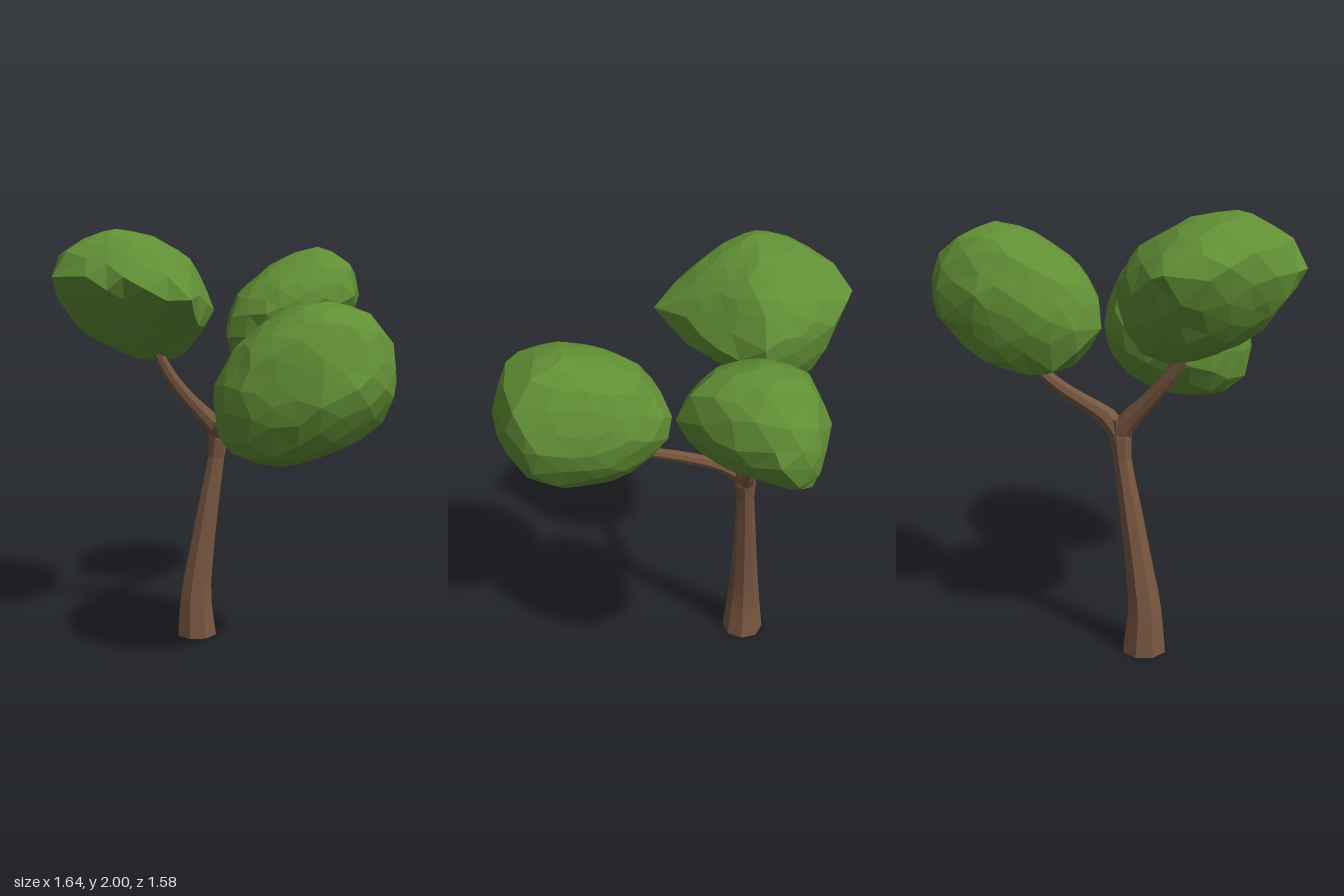
import * as THREE from 'three';
import { mergeVertices } from 'three/addons/utils/BufferGeometryUtils.js';

const leafGreen = new THREE.MeshStandardMaterial({ color: 0x618f35, flatShading: true });
leafGreen.name = 'leaf green';
const barkBrown = new THREE.MeshStandardMaterial({ color: 0x775640, flatShading: true });
barkBrown.name = 'bark brown';

const V = (p) => new THREE.Vector3(...p);

// Eight-sided tapering limb: a capped cylinder bent along a curve. Each point is [x, y, z, radius].
function limb(name, points, flatBase = false) {
  const rows = 12;
  const curve = new THREE.CatmullRomCurve3(points.map((p) => V(p.slice(0, 3))));
  const frames = curve.computeFrenetFrames(rows);
  const radii = new THREE.CatmullRomCurve3(points.map((p, i) => new THREE.Vector3(i, p[3], 0)));
  const geo = new THREE.CylinderGeometry(1, 1, 1, 8, rows);
  const pos = geo.attributes.position;
  for (let i = 0; i < pos.count; i++) {
    const row = Math.round((pos.getY(i) + 0.5) * rows);
    const r = radii.getPoint(curve.getUtoTmapping(row / rows)).y;
    const p = curve.getPointAt(row / rows)
      .addScaledVector(frames.normals[row], pos.getX(i) * r)
      .addScaledVector(frames.binormals[row], -pos.getZ(i) * r);
    if (flatBase && row === 0) p.y = 0;
    pos.setXYZ(i, p.x, p.y, p.z);
  }
  geo.computeVertexNormals();
  const mesh = new THREE.Mesh(geo, barkBrown);
  mesh.name = name;
  return mesh;
}

// Sphere with shared corners, giving evenly spread directions
function sphereDirections(detail) {
  const geo = new THREE.IcosahedronGeometry(1, detail);
  geo.deleteAttribute('uv');
  geo.deleteAttribute('normal');
  return mergeVertices(geo, 1e-4);
}

// Faceted leaf crown, bounded by its outlines: front [x, y], side [z, y] and top [x, z],
// and reaching out to the given tips [x, y, z]
function crown(name, center, front, side, top, tipPoints, seed) {
  const [cx, cy, cz] = center;
  const tips = tipPoints.map((p) => V(p).sub(V(center)));
  // Squared reach of an outline in a direction within its plane
  const reach = (outline, ca, cb, a, b) =>
    Math.max(...outline.map((p) => (p[0] - ca) * a + (p[1] - cb) * b)) ** 2;
  const F = (x, y) => reach(front, cx, cy, x, y);
  const S = (z, y) => reach(side, cz, cy, z, y);
  const T = (x, z) => reach(top, cx, cz, x, z);

  // Tangent planes all round, blending the three outlines as for a tilted ellipsoid
  const normals = sphereDirections(5).attributes.position;
  const planes = [];
  for (let i = 0; i < normals.count; i++) {
    const n = new THREE.Vector3().fromBufferAttribute(normals, i);
    const { x, y, z } = n;
    const square = F(x, y) + S(z, y) + T(x, z) - F(x, 0) - S(0, y) - T(0, z);
    const h = Math.sqrt(Math.max(square, 0.04));
    planes.push([n, Math.max(h, ...tips.map((t) => t.dot(n)))]);
  }

  const geo = sphereDirections(3);
  const pos = geo.attributes.position;
  let state = seed;
  const jitter = (amount) => {
    state = (state * 16807) % 2147483647;
    return (state / 2147483647 - 0.5) * amount;
  };
  const d = new THREE.Vector3();
  for (let i = 0; i < pos.count; i++) {
    d.fromBufferAttribute(pos, i);
    d.add(new THREE.Vector3(jitter(0.1), jitter(0.1), jitter(0.1))).normalize();
    let r = Infinity;
    for (const [n, h] of planes) {
      const c = d.dot(n);
      if (c > 0.05) r = Math.min(r, h / c);
    }
    d.multiplyScalar(r * (1.008 + jitter(0.008)));
    pos.setXYZ(i, d.x, d.y, d.z);
  }

  // Move the corner nearest in direction onto each tip
  for (const tip of tips) {
    let nearest = 0;
    let least = Infinity;
    for (let i = 0; i < pos.count; i++) {
      const angle = d.fromBufferAttribute(pos, i).angleTo(tip);
      if (angle < least) [nearest, least] = [i, angle];
    }
    pos.setXYZ(nearest, tip.x, tip.y, tip.z);
  }
  geo.computeVertexNormals();
  const mesh = new THREE.Mesh(geo, leafGreen);
  mesh.name = name;
  mesh.position.set(cx, cy, cz);
  return mesh;
}

export function createModel() {
  const tree = new THREE.Group();
  tree.name = 'tree';

  // Trunk, flared at the foot and leaning towards the fork
  tree.add(limb('trunk', [
    [-0.127, 0, -0.365, 0.102], [-0.13, 0.2, -0.365, 0.08], [-0.1, 0.42, -0.362, 0.064],
    [-0.063, 0.65, -0.357, 0.053], [-0.02, 0.9, -0.35, 0.042], [-0.01, 1.0, -0.345, 0.052],
    [-0.01, 1.08, -0.345, 0.045],
  ], true));

  // Three branches from the fork into the crowns
  tree.add(limb('frontBranch', [
    [-0.012, 1.02, -0.36, 0.055], [-0.018, 1.05, -0.29, 0.044], [-0.028, 1.075, -0.2, 0.031],
    [-0.03, 1.105, -0.04, 0.027], [-0.03, 1.125, 0.12, 0.024], [-0.03, 1.14, 0.24, 0.02],
  ]));
  tree.add(limb('leftBranch', [
    [-0.01, 1.0, -0.35, 0.045], [0.04, 1.07, -0.347, 0.046], [0.14, 1.125, -0.345, 0.037],
    [0.27, 1.19, -0.348, 0.032], [0.37, 1.27, -0.355, 0.029], [0.43, 1.39, -0.36, 0.024],
  ]));
  tree.add(limb('rightBranch', [
    [0, 1.0, -0.35, 0.045], [-0.045, 1.07, -0.35, 0.046], [-0.13, 1.16, -0.355, 0.036],
    [-0.24, 1.29, -0.36, 0.031], [-0.32, 1.43, -0.36, 0.027], [-0.36, 1.55, -0.36, 0.024],
  ]));

  // Leaf crowns
  tree.add(crown('frontCrown', [0.02, 1.35, 0.39],
    [[-0.36, 1.34], [-0.36, 1.18], [-0.33, 1.08], [-0.25, 1.03], [-0.1, 1], [0.03, 1.01], [0.25, 1.09],
      [0.36, 1.2], [0.4, 1.37], [0.35, 1.53], [0.27, 1.66], [0.14, 1.7], [-0.02, 1.69], [-0.25, 1.54]],
    [[0.79, 1.37], [0.71, 1.64], [0.46, 1.7], [0.14, 1.61], [-0.01, 1.38], [0.02, 1.24], [0.19, 1.06],
      [0.42, 1], [0.64, 1.09], [0.76, 1.26]],
    [[0, -0.01], [0.11, -0.01], [0.23, 0.07], [0.33, 0.24], [0.4, 0.53], [0.36, 0.66], [0.22, 0.75],
      [0.08, 0.79], [-0.07, 0.76], [-0.24, 0.62], [-0.36, 0.46], [-0.34, 0.28], [-0.19, 0.07]],
    [[-0.36, 1.26, 0.44], [0.4, 1.37, 0.53], [0.13, 1.7, 0.44], [-0.08, 1, 0.42], [0.06, 1.37, 0.79],
      [0.05, 1.37, -0.01]], 11));

  tree.add(crown('rightCrown', [-0.42, 1.7, -0.36],
    [[-0.82, 1.79], [-0.8, 1.87], [-0.73, 1.93], [-0.57, 2], [-0.34, 1.98], [-0.12, 1.86], [-0.02, 1.67],
      [-0.05, 1.5], [-0.15, 1.4], [-0.25, 1.38], [-0.37, 1.39], [-0.63, 1.51], [-0.78, 1.66]],
    [[0.1, 1.7], [-0.02, 1.82], [-0.18, 1.95], [-0.34, 2], [-0.55, 1.96], [-0.76, 1.84], [-0.78, 1.79],
      [-0.73, 1.63], [-0.63, 1.45], [-0.5, 1.38], [-0.35, 1.39], [-0.22, 1.47], [0.09, 1.67]],
    [[-0.35, -0.79], [-0.5, -0.77], [-0.74, -0.58], [-0.82, -0.37], [-0.76, -0.2], [-0.56, 0.01],
      [-0.35, 0.1], [-0.2, -0.06], [-0.07, -0.24], [-0.02, -0.41], [-0.13, -0.61], [-0.24, -0.74]],
    [[-0.82, 1.79, -0.37], [-0.02, 1.67, -0.41], [-0.52, 2, -0.34], [-0.25, 1.38, -0.45],
      [-0.38, 1.39, -0.42], [-0.35, 1.7, 0.1], [-0.38, 1.8, -0.79]], 237));

  tree.add(crown('leftCrown', [0.44, 1.59, -0.365],
    [[0.82, 1.63], [0.77, 1.79], [0.65, 1.88], [0.56, 1.91], [0.4, 1.87], [0.15, 1.7], [0.07, 1.56],
      [0.06, 1.47], [0.12, 1.35], [0.22, 1.28], [0.32, 1.27], [0.4, 1.28], [0.56, 1.35], [0.77, 1.51]],
    [[-0.37, 1.91], [-0.57, 1.86], [-0.66, 1.63], [-0.64, 1.45], [-0.59, 1.31], [-0.44, 1.27],
      [-0.31, 1.32], [-0.12, 1.5], [-0.06, 1.66], [-0.1, 1.79], [-0.2, 1.88]],
    [[0.06, -0.37], [0.14, -0.55], [0.29, -0.63], [0.5, -0.67], [0.7, -0.64], [0.79, -0.55],
      [0.82, -0.47], [0.75, -0.26], [0.6, -0.06], [0.38, -0.1], [0.14, -0.22]],
    [[0.82, 1.63, -0.47], [0.06, 1.48, -0.38], [0.56, 1.91, -0.37], [0.3, 1.27, -0.44],
      [0.58, 1.68, -0.06], [0.5, 1.64, -0.67]], 4021));

  return tree;
}
